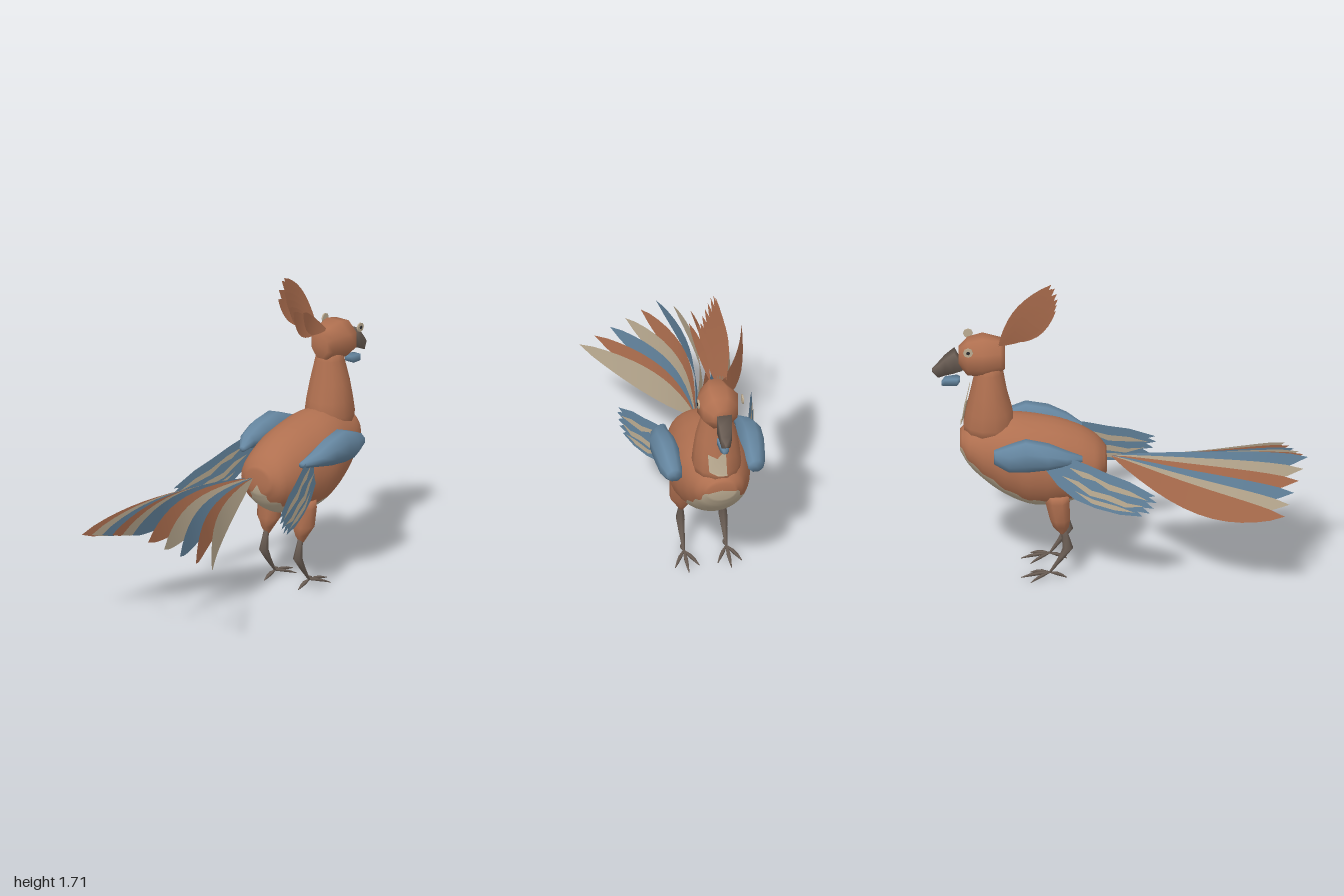
import * as THREE from 'three';

const mat = (name, color) => new THREE.MeshStandardMaterial({ name, color, side: THREE.DoubleSide });

export function createModel() {
  const rust = mat('rust plumage', 0xb07050);
  const blue = mat('blue plumage', 0x6586a0);
  const cream = mat('cream plumage', 0xbdad93);
  const horn = mat('horn', 0x6b5e55);
  const dark = mat('pupil', 0x2b2a2c);
  const bird = new THREE.Group();
  bird.name = 'bird';

  const add = (name, geo, material, parent = bird) => {
    const mesh = new THREE.Mesh(geo, material);
    mesh.name = name;
    parent.add(mesh);
    return mesh;
  };

  // Closed skin over rings of points; the first `split` columns form a second material group.
  const skin = (rings, split = 0) => {
    const n = rings[0].length;
    const pts = rings.flat();
    const mid = r => r.reduce((a, p) => a.add(p), new THREE.Vector3()).divideScalar(n);
    pts.push(mid(rings[0]), mid(rings[rings.length - 1]));
    const lists = [[], []];
    for (let j = 0; j < n; j++) {
      const out = lists[j < split ? 1 : 0], k = (j + 1) % n, last = (rings.length - 1) * n;
      for (let i = 0; i < rings.length - 1; i++) {
        const a = i * n + j, b = i * n + k;
        out.push(a, b, a + n, b, b + n, a + n);
      }
      out.push(pts.length - 2, k, j, pts.length - 1, last + j, last + k);
    }
    // Turn the faces outward using the signed volume
    let volume = 0;
    const all = lists.flat();
    for (let i = 0; i < all.length; i += 3)
      volume += pts[all[i]].dot(new THREE.Vector3().crossVectors(pts[all[i + 1]], pts[all[i + 2]]));
    if (volume < 0) lists.forEach(l => {
      for (let i = 0; i < l.length; i += 3) [l[i], l[i + 1]] = [l[i + 1], l[i]];
    });
    const geo = new THREE.BufferGeometry().setFromPoints(pts);
    geo.setIndex(lists.flat());
    if (split) {
      geo.addGroup(0, lists[0].length, 0);
      geo.addGroup(lists[0].length, lists[1].length, 1);
    }
    geo.computeVertexNormals();
    return geo;
  };

  // Loft along x or y; each section is [position, centre, radius, z radius, z centre]
  const loft = (axis, sections, sides) => skin(sections.map(([p, c, r, rz, zc = 0]) =>
    Array.from({ length: sides }, (_, j) => {
      const a = (j + 0.5) / sides * Math.PI * 2;
      const q = c + r * Math.sin(a), z = zc + rz * Math.cos(a);
      return axis === 'x' ? new THREE.Vector3(p, q, z) : new THREE.Vector3(q, p, z);
    })));

  // Thin feather; at(s) gives the centre x, y, z and the half width in x, y, z
  const feather = (at, steps = 9) => {
    const pts = [], index = [];
    for (let i = 0; i <= steps; i++) {
      const [x, y, z, wx, wy, wz] = at(i / steps);
      pts.push(new THREE.Vector3(x + wx, y + wy, z + wz), new THREE.Vector3(x - wx, y - wy, z - wz));
      const a = i * 2;
      if (i < steps) index.push(a, a + 2, a + 1, a + 1, a + 2, a + 3);
    }
    const geo = new THREE.BufferGeometry().setFromPoints(pts);
    geo.setIndex(index);
    geo.computeVertexNormals();
    return geo;
  };

  // Flat outline placed in space by a rule
  const sheet = (outline, place) => {
    const geo = new THREE.ShapeGeometry(new THREE.Shape(outline.map(p => new THREE.Vector2(...p))));
    const pos = geo.attributes.position;
    for (let i = 0; i < pos.count; i++) pos.setXYZ(i, ...place(pos.getX(i), pos.getY(i)));
    geo.computeVertexNormals();
    return geo;
  };

  // Body with a cream belly: x, top, bottom, half width, belly edge height
  const bodyRows = [
    [0.07, 0.715, 0.585, 0.08, 0.58], [0.12, 0.777, 0.505, 0.145, 0.535], [0.2, 0.832, 0.445, 0.175, 0.5],
    [0.32, 0.878, 0.41, 0.202, 0.478], [0.45, 0.903, 0.402, 0.218, 0.478], [0.58, 0.915, 0.448, 0.205, 0.53],
    [0.7, 0.895, 0.53, 0.172, 0.615], [0.8, 0.865, 0.63, 0.13, 0.695], [0.85, 0.82, 0.715, 0.075, 0.77],
  ];
  const shapeCurve = new THREE.CatmullRomCurve3(bodyRows.map(r => new THREE.Vector3(r[0], r[1], r[2])));
  const widthCurve = new THREE.CatmullRomCurve3(bodyRows.map(r => new THREE.Vector3(r[3], r[4], 0)));
  const bodyRings = [];
  for (let i = 0; i <= 32; i++) {
    const s = shapeCurve.getPoint(i / 32), w = widthCurve.getPoint(i / 32);
    const cy = (s.y + s.z) / 2, h = (s.y - s.z) / 2;
    const edge = w.y + 0.01 * Math.sin(i * 1.7);
    const a = Math.asin(THREE.MathUtils.clamp((edge - cy) / h, -0.93, 0.5));
    bodyRings.push(Array.from({ length: 28 }, (_, j) => {
      const t = j < 10 ? a - (Math.PI + 2 * a) * j / 10 : -Math.PI - a - (Math.PI - 2 * a) * (j - 10) / 18;
      return new THREE.Vector3(s.x, cy + h * Math.sin(t), w.x * Math.cos(t));
    }));
  }
  add('body', skin(bodyRings, 10), [rust, cream]);

  // Neck, throat patch wrapped on its front, and head
  add('neck', loft('y', [[0.8, 0.7, 0.13, 0.12], [0.87, 0.695, 0.14, 0.132], [0.95, 0.695, 0.125, 0.125],
    [1.05, 0.697, 0.1, 0.112], [1.17, 0.695, 0.077, 0.08], [1.22, 0.7, 0.07, 0.07]], 12), rust);
  add('throatPatch', sheet([[-0.03, 0.865], [0.02, 0.87], [0.063, 0.885], [0.066, 0.985], [0.02, 0.97], [-0.008, 1.0],
    [-0.006, 1.11], [-0.018, 1.11], [-0.028, 0.99]], (z, y) =>
    [0.85 - (y - 0.87) * 0.22 - 0.14 * (1 - Math.sqrt(1 - (z / 0.11) ** 2)), y, z]), cream);
  add('head', loft('x', [[0.61, 1.265, 0.075, 0.055], [0.635, 1.27, 0.097, 0.08], [0.73, 1.27, 0.118, 0.12],
    [0.81, 1.262, 0.104, 0.1], [0.858, 1.265, 0.05, 0.05]], 8), rust);

  // Beak and the wattle below it
  add('beak', loft('x', [[0.835, 1.2, 0.02, 0.035], [0.88, 1.24, 0.082, 0.058, -0.008],
    [0.93, 1.21, 0.066, 0.046, -0.005], [0.965, 1.18, 0.05, 0.034], [0.999, 1.178, 0.009, 0.012]], 4), horn);
  add('wattle', loft('x', [[0.85, 1.125, 0.014, 0.022], [0.865, 1.118, 0.027, 0.042],
    [0.93, 1.112, 0.026, 0.032], [0.948, 1.1, 0.012, 0.014]], 4), blue);

  // Crest, every feather bowed to the same side: tip x, tip y, tip z
  [[0.36, 1.54, 0.085], [0.34, 1.51, 0.035], [0.355, 1.53, 0.022], [0.335, 1.56, 0.008], [0.33, 1.60, -0.007],
    [0.335, 1.64, -0.022], [0.345, 1.68, -0.036], [0.365, 1.708, -0.048], [0.36, 1.69, -0.06],
    [0.35, 1.64, -0.072], [0.36, 1.58, -0.085]].forEach(([tx, ty, tz]) => {
    const dx = tx - 0.645, dy = ty - 1.35, len = Math.hypot(dx, dy);
    const nx = -dy / len, ny = dx / len;
    add('crestFeather', feather(s => {
      const arch = Math.sin(Math.PI * s);
      const w = 0.049 * Math.pow(Math.sin(Math.PI * Math.pow(s, 1.1)), 0.8);
      const lift = (ty - 1.635) * 0.26 * arch;
      return [0.645 + dx * s - nx * lift, 1.35 + dy * s - ny * lift,
        tz * (0.5 + 0.5 * s) - 0.02 * (1 - s) - 0.015 * arch, nx * w, ny * w, 0.22 * w];
    }), rust);
  });

  // Tail: eleven steep feathers in a fan, all bowed to the same side
  for (let i = 0; i < 11; i++) {
    const t = (i - 5) / 5, out = Math.abs(t), lean = t > 0 ? -0.13 : 0.13;
    add('tailFeather', feather(s => {
      const arch = Math.sin(Math.PI * s);
      const w = 0.079 * Math.pow(Math.sin(Math.PI * Math.pow(s, 1.1)), 0.75);
      const y = 0.675 - 0.015 * s - out * 0.135 * s - (0.014 + out * 0.028) * arch;
      return [0.05 - s * (1.05 - 0.125 * out), y, 0.44 * t * s - 0.083 * arch - 0.01 * (1 - s), 0, w, lean * w];
    }, 12), [rust, cream, blue][i % 3]);
  }

  // Wing blade outline with ragged tips, and its cream streaks
  const wingOutline = [[0.4, 0.71], [0.3, 0.79], [0.18, 0.755], [0.06, 0.71], [-0.05, 0.675], [-0.19, 0.605],
    [-0.15, 0.6], [-0.195, 0.57], [-0.14, 0.567], [-0.18, 0.535], [-0.12, 0.537], [-0.16, 0.505], [-0.09, 0.512],
    [-0.12, 0.485], [0.0, 0.485], [0.13, 0.51], [0.24, 0.55], [0.33, 0.62]];
  const streaks = [
    [[0.27, 0.73], [0.17, 0.705], [0.06, 0.655], [-0.05, 0.625], [-0.15, 0.578], [-0.05, 0.597], [0.06, 0.62], [0.13, 0.665], [0.2, 0.68]],
    [[0.31, 0.68], [0.22, 0.655], [0.15, 0.61], [0.05, 0.59], [-0.04, 0.555], [-0.13, 0.545], [-0.03, 0.53], [0.08, 0.565], [0.16, 0.58], [0.23, 0.63]],
    [[0.24, 0.6], [0.14, 0.56], [0.02, 0.535], [-0.08, 0.505], [0.03, 0.51], [0.15, 0.537]],
  ];

  for (const side of [1, -1]) {
    const wing = new THREE.Group();
    wing.name = side > 0 ? 'rightWing' : 'leftWing';
    bird.add(wing);
    const z = side * 0.23;
    add('shoulder', loft('x', [[0.2, 0.75, 0.015, 0.02, side * 0.2], [0.28, 0.768, 0.04, 0.05, z], [0.38, 0.78, 0.073, 0.07, side * 0.235],
      [0.5, 0.783, 0.094, 0.07, z], [0.59, 0.765, 0.078, 0.062, side * 0.225], [0.668, 0.77, 0.038, 0.042, side * 0.22]], 8), blue, wing);
    const place = off => (x, y) =>
      [x, y, side * (0.36 - (x + 0.19) * 0.25 + (0.6 - y) * 0.1 + off) - (x + 0.19) * 0.06];
    add('flightFeathers', sheet(wingOutline, place(0)), blue, wing);
    for (const off of [0.004, -0.004])
      streaks.forEach(s => add('wingStreak', sheet(s, place(off)), cream, wing));

    // Eye set just off the side of the head, with the pupil on its outer face
    for (const [name, r, d, out, m] of [['eye', 0.026, 0.008, 0.119, cream], ['pupil', 0.01, 0.003, 0.124, dark]]) {
      const eye = add(name, new THREE.CylinderGeometry(r, r, d, 8).rotateX(Math.PI / 2), m);
      eye.position.set(0.807, 1.338, side * out);
    }

    // Leg: feathered thigh, bent shank and four toes
    const leg = new THREE.Group();
    leg.name = side > 0 ? 'rightLeg' : 'leftLeg';
    leg.position.z = side * 0.115;
    bird.add(leg);
    add('thigh', loft('y', [[0.5, 0.335, 0.07, 0.064], [0.46, 0.333, 0.068, 0.068], [0.36, 0.318, 0.058, 0.068],
      [0.31, 0.313, 0.045, 0.035], [0.265, 0.305, 0.012, 0.012]], 8), rust, leg);
    add('shank', loft('y', [[0.29, 0.3, 0.018, 0.012], [0.25, 0.29, 0.02, 0.016], [0.18, 0.276, 0.028, 0.025],
      [0.12, 0.312, 0.018, 0.018], [0.035, 0.372, 0.007, 0.007]], 6), horn, leg);
    for (const [tx, tz] of [[0.525, 0], [0.475, 0.065], [0.475, -0.065], [0.28, 0]]) {
      const row = (s, y, r) => [0.372 + (tx - 0.372) * s, y, r, r * 1.3, tz * s];
      add('toe', loft('x', [row(0, 0.035, 0.004), row(0.4, 0.028, 0.01), row(0.7, 0.018, 0.008), row(1, 0.004, 0.002)], 4), horn, leg);
    }
  }
  return bird;
}
